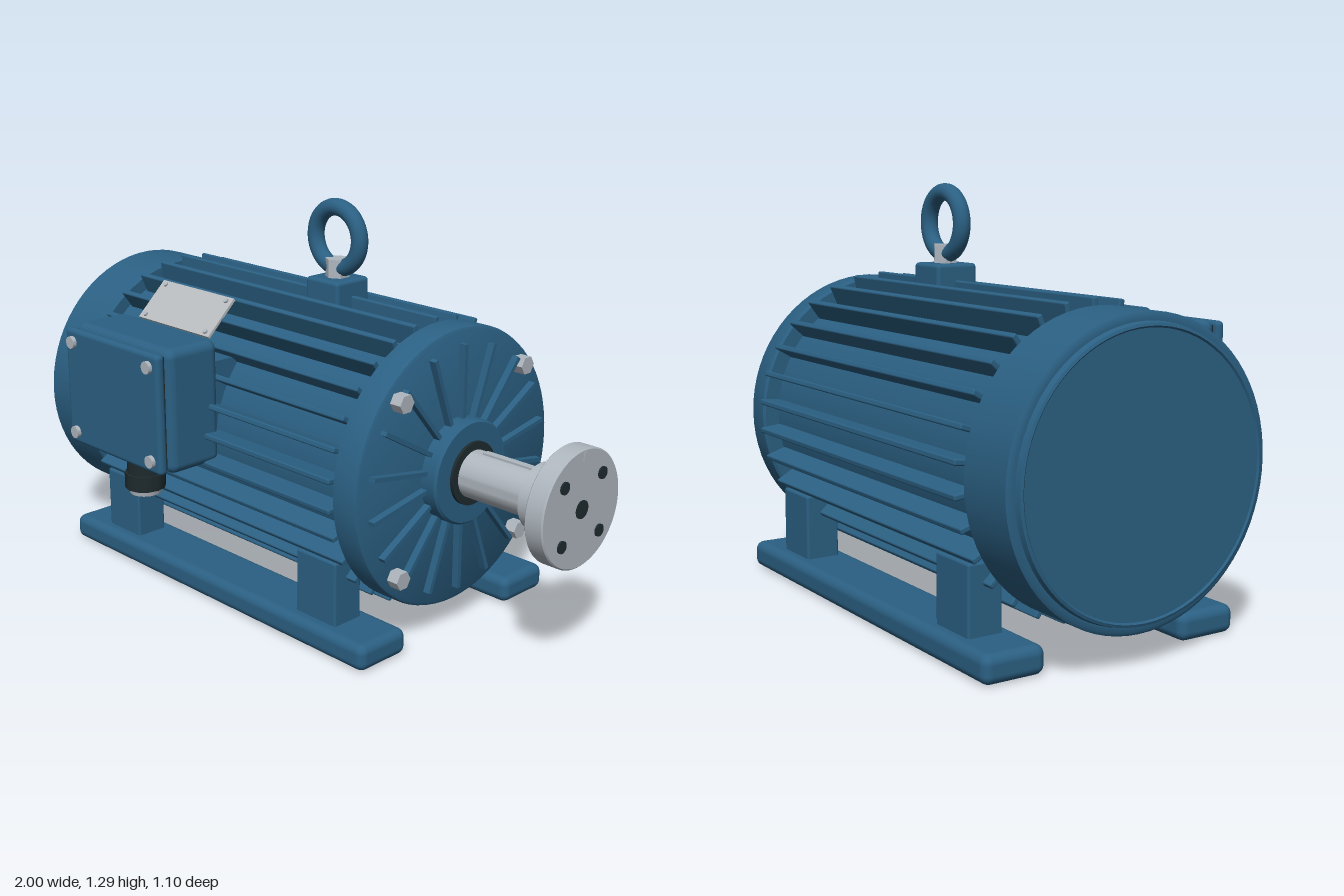
import * as THREE from 'three';
import { toCreasedNormals } from 'three/addons/utils/BufferGeometryUtils.js';
import { RoundedBoxGeometry } from 'three/addons/geometries/RoundedBoxGeometry.js';

const material = (name, color) => {
  const m = new THREE.MeshStandardMaterial({ color });
  m.name = name;
  return m;
};

export function createModel() {
  const blue = material('blue paint', 0x2b6083);
  const steel = material('bare steel', 0xafb7bf);
  const dark = material('dark rubber', 0x1e2a2d);
  const plate = material('plate metal', 0xb9bcbe);

  const model = new THREE.Group();
  model.name = 'electricMotor';
  const AXIS_Y = 0.535, AXIS_Z = -0.09;
  // Everything that turns around the shaft line lives in this group
  const drum = new THREE.Group();
  drum.name = 'drum';
  drum.position.set(0, AXIS_Y, AXIS_Z);
  model.add(drum);

  const add = (parent, name, geo, mat, x = 0, y = 0, z = 0) => {
    const mesh = new THREE.Mesh(geo, mat);
    mesh.name = name;
    mesh.position.set(x, y, z);
    parent.add(mesh);
    return mesh;
  };
  // Turned solid along x from [x, radius] pairs
  const turned = (pairs, sides = 72) => {
    const pts = pairs.map(([x, r]) => new THREE.Vector2(r, x));
    return toCreasedNormals(new THREE.LatheGeometry(pts, sides).rotateZ(-Math.PI / 2), 0.6);
  };
  const rod = (x0, x1, r, sides = 48) => turned([[x0, 0], [x0, r], [x1, r], [x1, 0]], sides);
  const upright = (rTop, rBottom, h, sides = 32) =>
    toCreasedNormals(new THREE.CylinderGeometry(rTop, rBottom, h, sides), 0.6);
  const box = (w, h, d) => new THREE.BoxGeometry(w, h, d);
  const rounded = (w, h, d, r) => new RoundedBoxGeometry(w, h, d, 4, r);

  // Housing with cooling fins
  add(drum, 'housing', rod(-0.8, 0.45, 0.39, 72), blue);
  const FINS = 30;
  const finGeo = rounded(1.2, 0.018, 0.1, 0.005);
  for (let i = 0; i < FINS; i++) {
    const a = Math.PI / 2 + (i * 2 * Math.PI) / FINS;
    const fin = add(drum, 'coolingFin', finGeo, blue, -0.165, 0.408 * Math.sin(a), 0.408 * Math.cos(a));
    fin.rotation.x = -a;
  }

  // Fan cover with stepped rear face
  add(drum, 'fanCover', turned([
    [-0.995, 0], [-0.995, 0.395], [-1, 0.4], [-0.997, 0.408], [-0.98, 0.412],
    [-0.98, 0.428], [-0.974, 0.437], [-0.781, 0.437], [-0.775, 0.432], [-0.775, 0],
  ]), blue);

  // Front end bell with radial ribs and bolts
  add(drum, 'endBell', turned([
    [0.435, 0], [0.435, 0.436], [0.441, 0.443], [0.518, 0.443],
    [0.527, 0.439], [0.532, 0.43], [0.532, 0],
  ]), blue);
  const RIBS = 18;
  const ribGeo = box(0.035, 0.014, 0.25);
  for (let i = 0; i < RIBS; i++) {
    const a = Math.PI / 2 + (i * 2 * Math.PI) / RIBS;
    const rib = add(drum, 'endBellRib', ribGeo, blue, 0.538, 0.27 * Math.sin(a), 0.27 * Math.cos(a));
    rib.rotation.x = -a;
  }
  const boltGeo = rod(0.525, 0.572, 0.03, 6);
  for (const sy of [-1, 1]) for (const sz of [-1, 1]) {
    add(drum, 'endBellBolt', boltGeo, steel, 0, sy * 0.276, sz * 0.276);
  }
  add(drum, 'bearingCap', turned([
    [0.53, 0], [0.53, 0.165], [0.582, 0.165], [0.59, 0.158], [0.59, 0],
  ]), blue);
  add(drum, 'shaftSeal', rod(0.58, 0.6, 0.1), dark);

  // Shaft, key and coupling
  add(drum, 'shaft', rod(0.55, 0.86, 0.075), steel);
  add(drum, 'shaftKey', box(0.21, 0.02, 0.024), steel, 0.745, 0.07, 0);
  add(drum, 'couplingHub', rod(0.845, 0.94, 0.102), steel);
  add(drum, 'couplingFlange', turned([
    [0.93, 0], [0.93, 0.178], [0.934, 0.182], [0.99, 0.182], [0.994, 0.178], [0.994, 0],
  ]), steel);
  add(drum, 'couplingMark', box(0.004, 0.03, 0.01), steel, 0.995, 0.158, 0);
  add(drum, 'shaftCentre', rod(0.99, 0.997, 0.028, 32), dark);
  const screwGeo = rod(0.99, 1, 0.019, 24);
  for (const sy of [-1, 1]) for (const sz of [-1, 1]) {
    add(drum, 'couplingScrew', screwGeo, dark, 0, sy * 0.089, sz * 0.089);
  }

  // Two rails, each with two posts
  for (const side of [-1, 1]) {
    const z = AXIS_Z + side * 0.335;
    add(model, 'footRail', rounded(1.435, 0.085, 0.2, 0.028), blue, -0.1625, 0.0425, z);
    for (const x of [-0.647, 0.315]) {
      add(model, 'footPost', rounded(0.168, 0.25, 0.112, 0.008), blue, x, 0.168, z);
    }
  }

  // Terminal box with lid and corner screws
  const bx = -0.36, by = 0.684;
  add(model, 'terminalBoxNeck', box(0.44, 0.25, 0.16), blue, bx, by, 0.25);
  add(model, 'terminalBox', rounded(0.485, 0.403, 0.2, 0.03), blue, bx, by, 0.4);
  add(model, 'lidGasket', box(0.44, 0.36, 0.03), dark, bx, by, 0.5);
  add(model, 'terminalBoxLid', rounded(0.475, 0.388, 0.033, 0.015), blue, bx, by, 0.5245);
  const lidScrewGeo = upright(0.02, 0.02, 0.02, 20).rotateX(Math.PI / 2);
  for (const sx of [-1, 1]) for (const sy of [-1, 1]) {
    add(model, 'lidScrew', lidScrewGeo, steel, bx + sx * 0.195, by + sy * 0.152, 0.544);
  }

  // Cable gland under the box
  add(model, 'glandBody', upright(0.058, 0.058, 0.1), dark, bx, 0.45, 0.42);
  add(model, 'glandNut', upright(0.067, 0.067, 0.052, 12), dark, bx, 0.39, 0.42);
  add(model, 'glandRing', upright(0.056, 0.052, 0.022), steel, bx, 0.356, 0.42);

  // Rating plate, tilted on the upper front of the housing
  const rating = new THREE.Group();
  rating.name = 'ratingPlate';
  rating.position.set(-0.42, 0.907, 0.181);
  rating.rotation.x = -0.81;
  model.add(rating);
  add(rating, 'plateSheet', box(0.36, 0.155, 0.009), plate);
  const rivetGeo = upright(0.008, 0.008, 0.012, 12).rotateX(Math.PI / 2);
  for (const sx of [-1, 1]) for (const sy of [-1, 1]) {
    add(rating, 'plateRivet', rivetGeo, steel, sx * 0.155, sy * 0.062, 0.005);
  }

  // Lifting eye on its pad
  const ex = 0.012;
  add(model, 'liftingPad', rounded(0.144, 0.14, 0.144, 0.012), blue, ex, 0.975, AXIS_Z);
  add(model, 'liftingNut', upright(0.04, 0.04, 0.06, 6), steel, ex, 1.074, AXIS_Z);
  add(model, 'liftingRing', new THREE.TorusGeometry(0.097, 0.0275, 20, 56), blue, ex, 1.17, AXIS_Z);

  return model;
}
